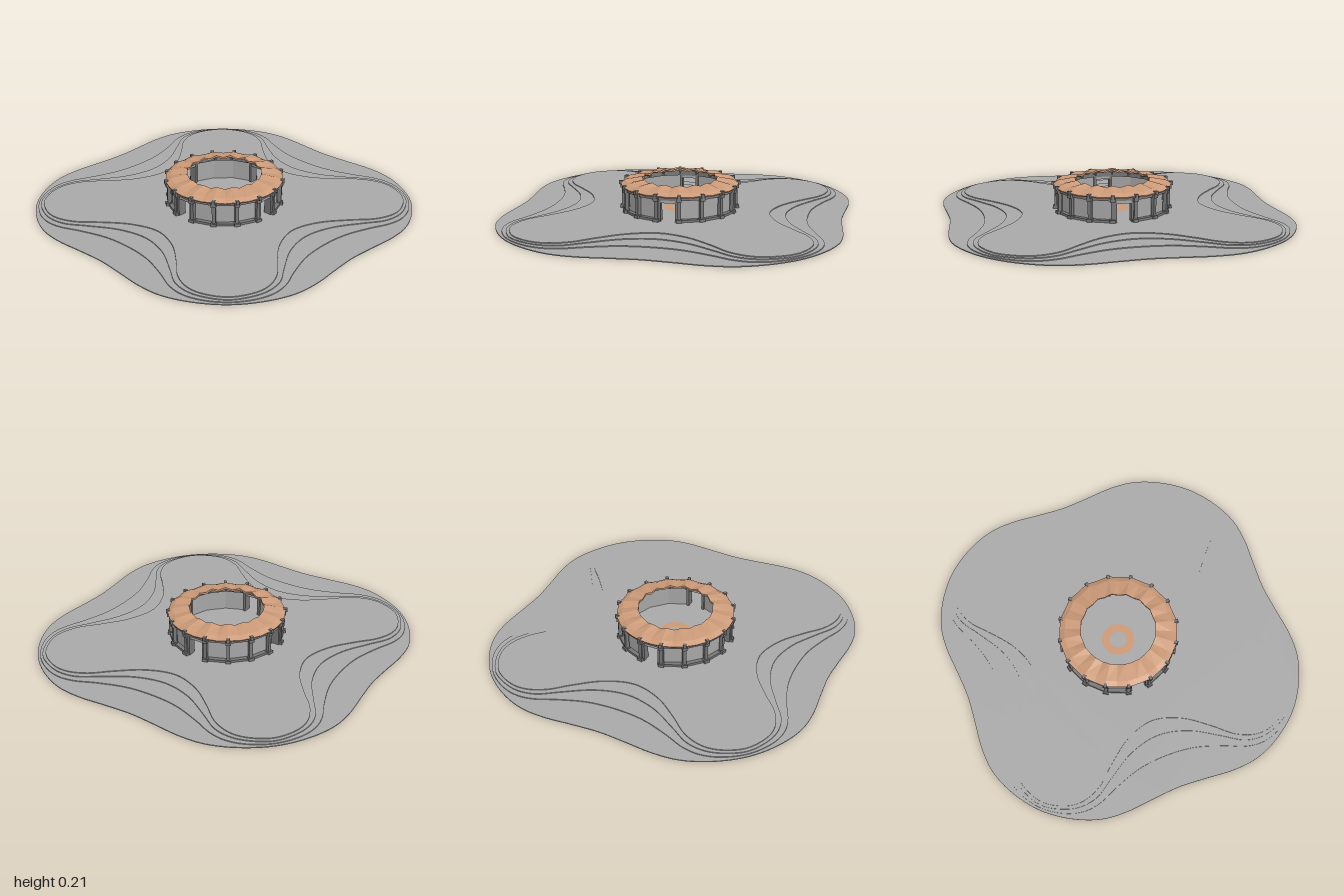
import * as THREE from 'three';

const mat = (name, color) => {
  const m = new THREE.MeshStandardMaterial({ color });
  m.name = name;
  return m;
};

const SIDES = 16;
const STEP = (Math.PI * 2) / SIDES;
const FLOOR = 0.022;

// Closed outline from one eighth of the curve (from the x axis to the diagonal)
function terraceShape(eighth) {
  const side = [
    ...eighth.slice(1, -1).reverse().map(([x, y]) => [x, -y]),
    ...eighth,
  ];
  const pts = [];
  for (let q = 0; q < 4; q++) {
    const c = Math.round(Math.cos(q * Math.PI / 2));
    const s = Math.round(Math.sin(q * Math.PI / 2));
    for (const [x, y] of side) pts.push(new THREE.Vector3(c * x - s * y, s * x + c * y, 0));
  }
  const curve = new THREE.CatmullRomCurve3(pts, true);
  return new THREE.Shape(curve.getPoints(240).slice(0, -1).map((p) => new THREE.Vector2(p.x, p.y)));
}

// Folded ring roof: ridges over the columns, valleys between them
function roofGeometry() {
  const n = SIDES * 2;
  const profile = (i) => {
    const ridge = i % 2 ? 1 : 0;
    const top = 0.2 + 0.013 * ridge;
    const k = ridge ? 1 : Math.cos(STEP / 2);
    return [
      [0.226 * k, top],
      [0.326 * k, 0.187 + 0.008 * ridge],
      [0.358 * k, 0.172 + 0.006 * ridge],
      [0.354 * k, 0.164 + 0.006 * ridge],
      [0.226 * k, top - 0.012],
    ];
  };
  const point = (i, j) => {
    const a = (i * STEP) / 2;
    const [r, y] = profile(i)[j % 5];
    return [r * Math.sin(a), y, r * Math.cos(a)];
  };
  const pos = [];
  for (let i = 0; i < n; i++) {
    for (let j = 0; j < 5; j++) {
      const a = point(i, j), b = point(i, j + 1), c = point(i + 1, j), d = point(i + 1, j + 1);
      pos.push(...a, ...b, ...c, ...c, ...b, ...d);
    }
  }
  const g = new THREE.BufferGeometry();
  g.setAttribute('position', new THREE.Float32BufferAttribute(pos, 3));
  g.computeVertexNormals();
  return g;
}

export function createModel() {
  const model = new THREE.Group();
  const ground = mat('pale stone', 0xa9a9a9);
  const wall = mat('wall grey', 0xa6a6a6);
  const frame = mat('dark stone', 0x777777);
  const tile = mat('terracotta', 0xcb9a78);

  // Four stacked terraces with lobed outlines
  const outlines = [
    [[0.975, 0], [0.985, 0.16], [0.999, 0.34], [0.985, 0.49], [0.92, 0.65], [0.805, 0.805]],
    [[0.775, 0], [0.79, 0.17], [0.845, 0.34], [0.895, 0.46], [0.908, 0.56], [0.88, 0.67], [0.795, 0.795]],
    [[0.645, 0], [0.685, 0.18], [0.785, 0.35], [0.86, 0.47], [0.876, 0.58], [0.85, 0.68], [0.785, 0.785]],
    [[0.55, 0], [0.6, 0.17], [0.71, 0.32], [0.805, 0.43], [0.85, 0.54], [0.845, 0.64], [0.772, 0.772]],
  ];
  const h = FLOOR / outlines.length;
  outlines.forEach((o, i) => {
    const g = new THREE.ExtrudeGeometry(terraceShape(o), { depth: h, bevelEnabled: false });
    g.rotateX(-Math.PI / 2);
    const m = new THREE.Mesh(g, ground);
    m.name = 'terrace' + (i + 1);
    m.position.y = i * h;
    model.add(m);
  });

  // Paved ring in the middle of the courtyard
  const paving = new THREE.Mesh(new THREE.RingGeometry(0.05, 0.1, 48), tile);
  paving.name = 'courtyardRing';
  paving.rotation.x = -Math.PI / 2;
  paving.position.y = FLOOR + 0.002;
  model.add(paving);

  const box = (parent, name, material, w, y0, y1, d, x, z) => {
    const m = new THREE.Mesh(new THREE.BoxGeometry(w, y1 - y0, d), material);
    m.name = name;
    m.position.set(x, (y0 + y1) / 2, z);
    parent.add(m);
    return m;
  };

  const building = new THREE.Group();
  building.name = 'ringBuilding';
  model.add(building);

  for (let k = 0; k < SIDES; k++) {
    // Wall bay or gate, facing outwards along its own z
    const gate = k % 4 === 0;
    const bay = new THREE.Group();
    bay.name = gate ? 'gate' : 'wallBay';
    bay.rotation.y = k * STEP;
    building.add(bay);
    box(bay, 'topBeam', frame, 0.132, 0.15, 0.172, 0.02, 0, 0.328);
    box(bay, 'innerBeam', frame, 0.118, 0.15, 0.18, 0.012, 0, 0.29);
    if (gate) {
      box(bay, 'lintel', wall, 0.1, 0.132, 0.152, 0.04, 0, 0.312);
      for (const s of [-1, 1]) box(bay, 'jamb', frame, 0.016, FLOOR, 0.15, 0.05, s * 0.051, 0.312);
    } else {
      box(bay, 'wallPanel', wall, 0.126, FLOOR, 0.16, 0.014, 0, 0.307);
      box(bay, 'sill', frame, 0.132, FLOOR, 0.036, 0.026, 0, 0.328);
    }

    // Column between two bays
    const column = new THREE.Group();
    column.name = 'column';
    column.rotation.y = (k + 0.5) * STEP;
    building.add(column);
    box(column, 'plinth', frame, 0.034, FLOOR, 0.04, 0.034, 0, 0.341);
    box(column, 'shaft', frame, 0.021, 0.04, 0.165, 0.022, 0, 0.338);
    box(column, 'capital', frame, 0.03, 0.145, 0.166, 0.032, 0, 0.342);
    box(column, 'bracket', frame, 0.018, 0.166, 0.188, 0.024, 0, 0.353);
    box(column, 'rafter', frame, 0.01, 0.168, 0.18, 0.09, 0, 0.3);
  }

  // Ring roof rising towards the courtyard
  const roof = new THREE.Mesh(roofGeometry(), tile);
  roof.name = 'roof';
  building.add(roof);

  return model;
}
